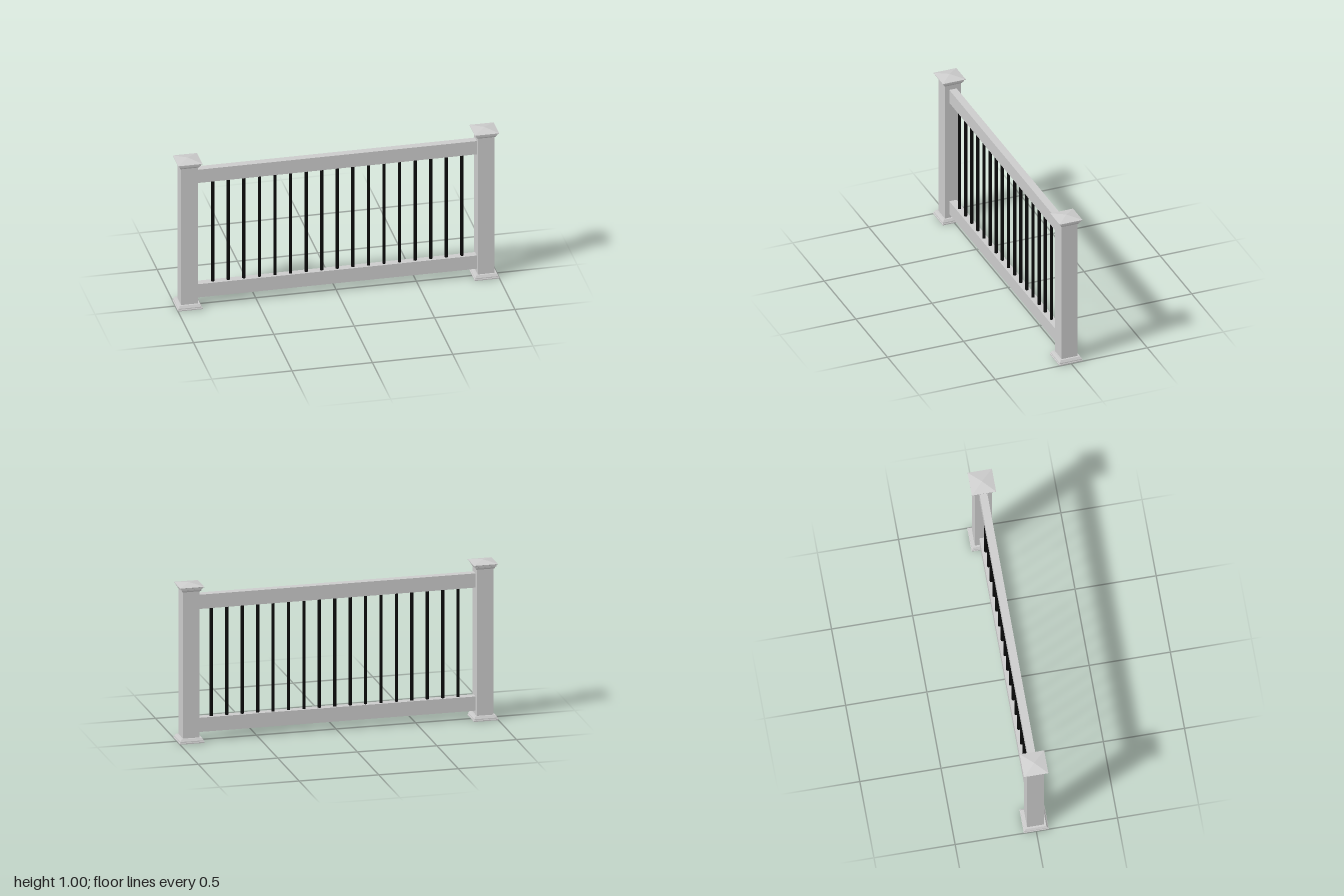
import * as THREE from 'three';

const grey = new THREE.MeshStandardMaterial({ color: 0xcccccc, flatShading: true });
const black = new THREE.MeshStandardMaterial({ color: 0x0a0a0a });

function add(parent, name, geometry, material, x, y, z = 0) {
  const mesh = new THREE.Mesh(geometry, material);
  mesh.name = name;
  mesh.position.set(x, y, z);
  parent.add(mesh);
  return mesh;
}

// Square moulding: a four-sided lathe from [half width, height] pairs
function squareMoulding(profile) {
  const points = profile.map(([half, y]) => new THREE.Vector2(half * Math.SQRT2, y));
  return new THREE.LatheGeometry(points, 4, Math.PI / 4);
}

export function createModel() {
  const model = new THREE.Group();
  model.name = 'railingSection';

  const postX = 0.923, postWidth = 0.105;
  const shaft = new THREE.BoxGeometry(postWidth, 0.96, postWidth);
  const base = squareMoulding([
    [0, 0], [0.077, 0], [0.077, 0.007], [0.074, 0.009], [0.073, 0.016],
    [0.069, 0.022], [0.064, 0.03], [0.052, 0.03],
  ]);
  const cap = squareMoulding([
    [0.052, 0.957], [0.056, 0.957], [0.061, 0.965], [0.062, 0.971], [0.067, 0.973],
    [0.068, 0.983], [0.075, 0.986], [0.075, 0.989], [0, 1.004],
  ]);

  // Posts with base trim and pyramid cap
  for (const side of [-1, 1]) {
    const post = new THREE.Group();
    post.name = side < 0 ? 'rightPost' : 'leftPost';
    post.position.x = side * postX;
    add(post, 'postShaft', shaft, grey, 0, 0.482);
    add(post, 'postBase', base, grey, 0, 0);
    add(post, 'postCap', cap, grey, 0, 0);
    model.add(post);
  }

  // Horizontal rails between the posts
  const rail = new THREE.BoxGeometry(2 * postX - postWidth + 0.01, 0.09, 0.048);
  add(model, 'bottomRail', rail, grey, 0, 0.1);
  add(model, 'topRail', rail, grey, 0, 0.88);

  // Round balusters
  const baluster = new THREE.CylinderGeometry(0.01, 0.01, 0.71, 16);
  const count = 17, spacing = 0.0969;
  for (let i = 0; i < count; i++) {
    add(model, 'baluster', baluster, black, 0.008 + (i - (count - 1) / 2) * spacing, 0.49);
  }
  return model;
}
